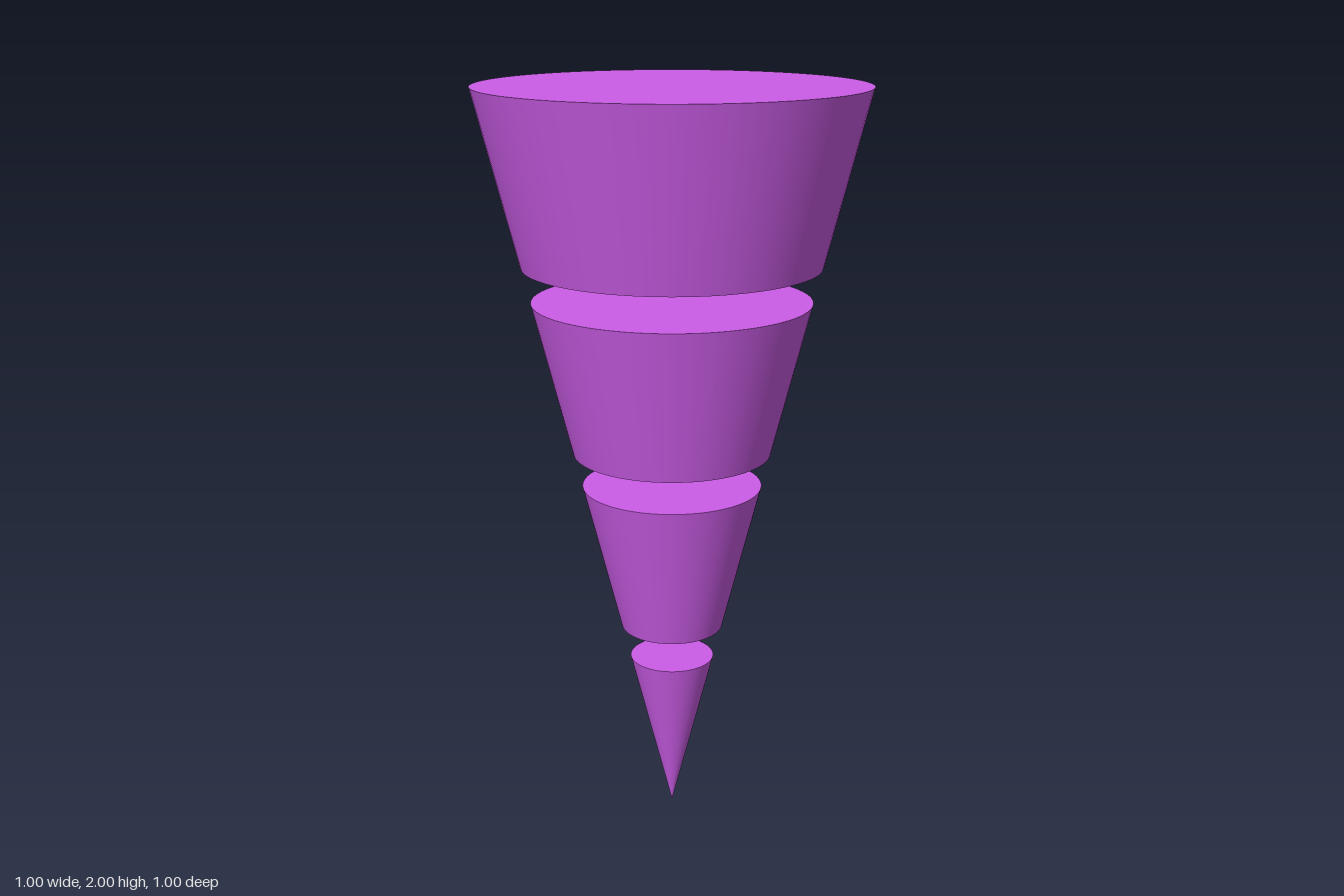
import * as THREE from 'three';

// Inverted cone cut into four separated slices
export function createModel() {
  const group = new THREE.Group();
  const material = new THREE.MeshStandardMaterial({ color: 0xcc5de8 });
  const radiusAt = (y) => y / 4;

  // name, bottom height, top height
  const slices = [
    ['coneTip', 0, 0.457],
    ['lowerSlice', 0.55, 0.957],
    ['upperSlice', 1.05, 1.457],
    ['topSlice', 1.55, 2],
  ];

  for (const [name, bottom, top] of slices) {
    const geometry = new THREE.CylinderGeometry(radiusAt(top), radiusAt(bottom), top - bottom, 96);
    const slice = new THREE.Mesh(geometry, material);
    slice.name = name;
    slice.position.y = (bottom + top) / 2;
    group.add(slice);
  }
  return group;
}
